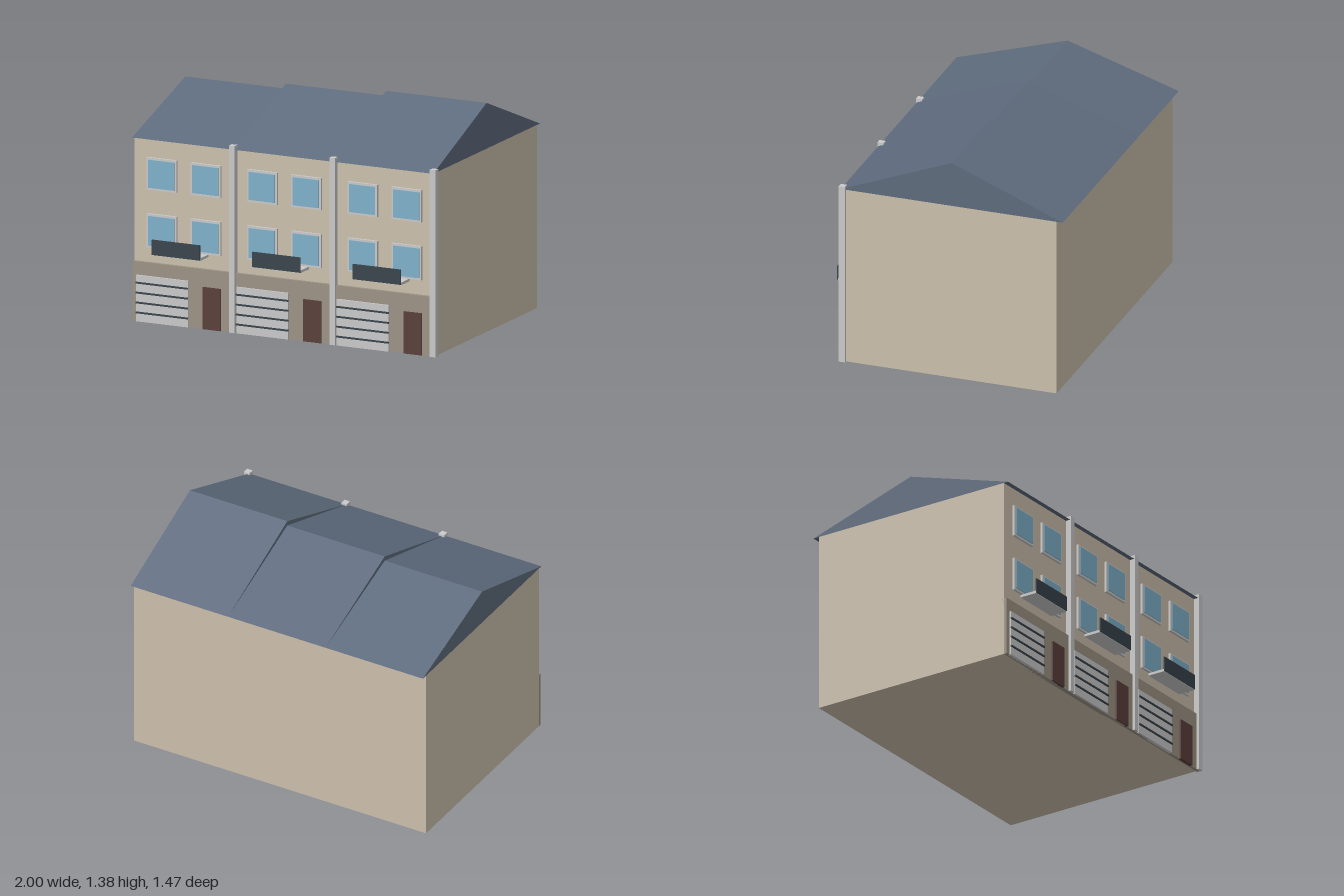
import * as THREE from 'three';

const mat = (name, color) => {
  const m = new THREE.MeshStandardMaterial({ color });
  m.name = name;
  return m;
};

export function createModel() {
  const wall = mat('beige wall', 0xcbbfac);
  const base = mat('taupe base', 0x9c9385);
  const slate = mat('slate roof', 0x5e6b7d);
  const trim = mat('light grey trim', 0xc9c9c9);
  const glass = mat('blue glass', 0x7fb0c9);
  const wood = mat('brown door', 0x593f39);
  const dark = mat('dark metal', 0x38444b);

  const model = new THREE.Group();
  model.name = 'rowHouses';

  // Box given by its limits on each axis
  const box = (parent, name, material, x0, x1, y0, y1, z0, z1) => {
    const mesh = new THREE.Mesh(new THREE.BoxGeometry(x1 - x0, y1 - y0, z1 - z0), material);
    mesh.position.set((x0 + x1) / 2, (y0 + y1) / 2, (z0 + z1) / 2);
    mesh.name = name;
    parent.add(mesh);
  };

  const W = 0.661, H = W / 2, EAVE = 1.108;
  const FRONT = 0.625, BASE = 0.645; // facade planes

  // Solid gable roof, extruded along x
  const gableRoof = (ridge) => {
    const s = new THREE.Shape();
    s.moveTo(-0.655, EAVE);
    s.lineTo(0.735, EAVE);
    s.lineTo(0.04, ridge);
    s.closePath();
    const g = new THREE.ExtrudeGeometry(s, { depth: W, bevelEnabled: false });
    g.rotateY(Math.PI / 2); // profile x becomes -z, depth becomes x
    g.translate(-H, 0, 0);
    const mesh = new THREE.Mesh(g, slate);
    mesh.name = 'roof';
    return mesh;
  };

  [1.325, 1.355, 1.385].forEach((ridge, i) => {
    const house = new THREE.Group();
    house.name = `house${i + 1}`;
    house.position.x = -1 + H + W * i;
    model.add(house);

    box(house, 'walls', wall, -H, H, 0, EAVE, -0.697, FRONT);
    box(house, 'groundFloorFacade', base, -H, H, 0, 0.36, FRONT - 0.01, BASE);
    house.add(gableRoof(ridge));

    // Windows on two floors
    for (const [y0, y1] of [[0.45, 0.655], [0.8, 0.995]]) {
      for (const x of [-0.144, 0.146]) {
        box(house, 'windowFrame', trim, x - 0.098, x + 0.098, y0, y1, FRONT - 0.01, 0.64);
        box(house, 'windowGlass', glass, x - 0.085, x + 0.085, y0 + 0.013, y1 - 0.013, 0.638, 0.645);
      }
    }

    // Garage door with dark grooves
    box(house, 'garageDoor', trim, -0.304, 0.038, 0, 0.28, BASE - 0.01, 0.657);
    for (let k = 0; k < 4; k++) {
      const y = 0.055 + 0.06 * k;
      box(house, 'garageGroove', dark, -0.304, 0.038, y - 0.005, y + 0.005, 0.655, 0.664);
    }

    box(house, 'frontDoor', wood, 0.134, 0.252, 0, 0.254, BASE - 0.01, 0.655);

    // Balcony
    box(house, 'balconySlab', trim, -0.158, 0.158, 0.432, 0.448, FRONT - 0.01, 0.735);
    box(house, 'balconyRail', dark, -0.158, 0.158, 0.435, 0.527, 0.732, 0.739);

    // Pier on the house's +x edge
    box(house, 'pier', trim, H - 0.02, H + 0.017, 0, 1.132, 0.622, 0.661);
  });

  return model;
}
